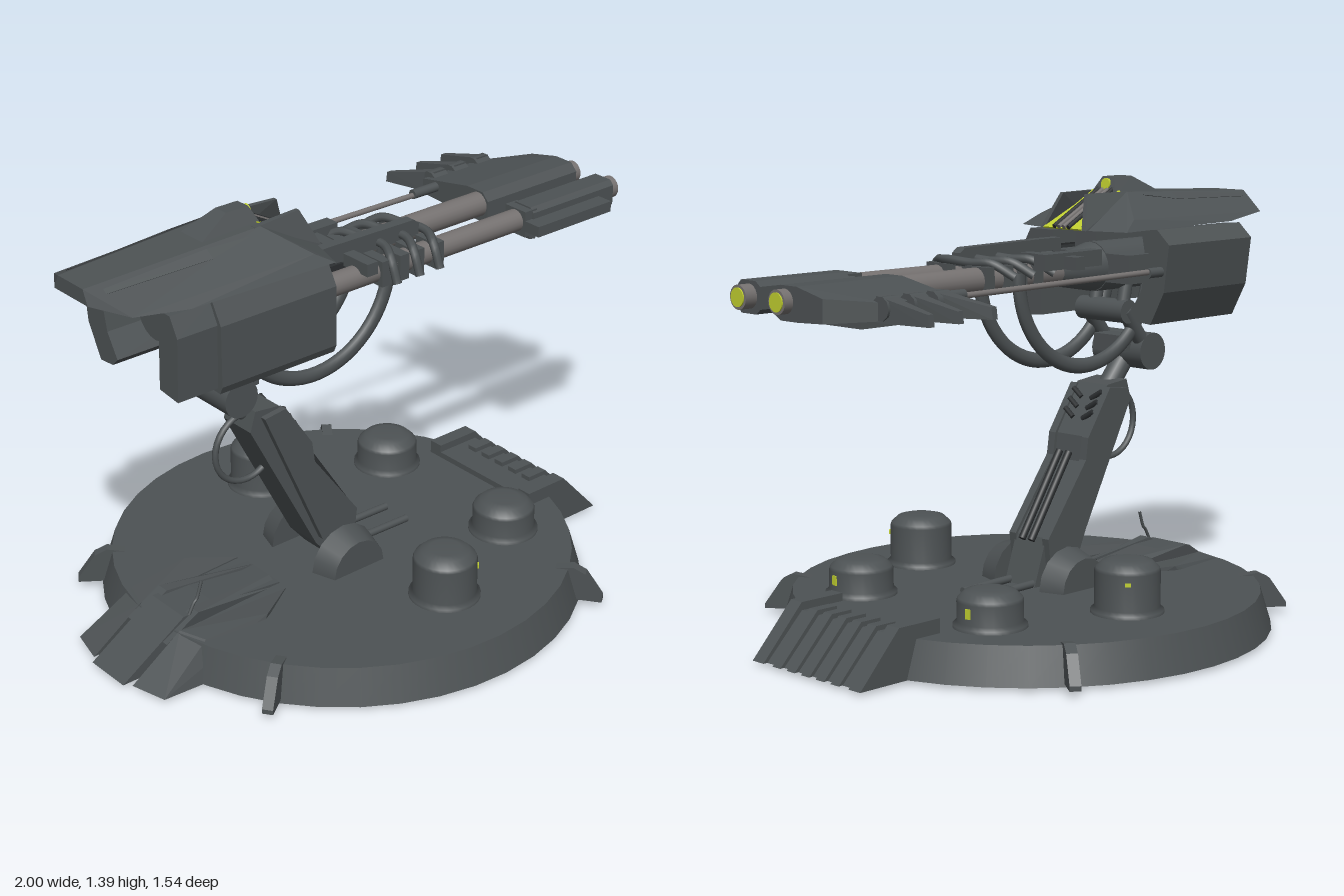
import * as THREE from 'three';
import { ConvexGeometry } from 'three/addons/geometries/ConvexGeometry.js';

const V = (x, y, z) => new THREE.Vector3(x, y, z);
const colour = (name, color) => Object.assign(new THREE.MeshStandardMaterial({ color }), { name });

export function createModel() {
  const model = new THREE.Group();
  model.name = 'turret';
  const armour = colour('armour grey', 0x4d5254);
  const steel = colour('barrel steel', 0x757170);
  const glow = colour('yellow glow', 0xc0cf30);
  const dark = colour('dark recess', 0x2c2f31);

  const add = (name, geo, mat = armour) => {
    const m = new THREE.Mesh(geo, mat);
    m.name = name;
    model.add(m);
    return m;
  };
  // box from minimum and maximum corners
  const box = (name, x0, x1, y0, y1, z0, z1, mat) =>
    add(name, new THREE.BoxGeometry(x1 - x0, y1 - y0, z1 - z0)
      .translate((x0 + x1) / 2, (y0 + y1) / 2, (z0 + z1) / 2), mat);
  const hull = (name, pts, mat) => add(name, new ConvexGeometry(pts.map(p => V(...p))), mat);
  const flat = pts => new THREE.Shape(pts.map(p => new THREE.Vector2(...p)));
  // profile of [x, y] points, extruded along z
  const slab = (name, pts, z0, z1, mat) => add(name,
    new THREE.ExtrudeGeometry(flat(pts), { depth: z1 - z0, bevelEnabled: false }).translate(0, 0, z0), mat);
  // profile of [z, y] points, extruded along x
  const shell = (name, pts, x0, x1, mat) => add(name,
    new THREE.ExtrudeGeometry(flat(pts.map(([z, y]) => [-z, y])), { depth: x1 - x0, bevelEnabled: false })
      .rotateY(Math.PI / 2).translate(x0, 0, 0), mat);
  // round bar between two points
  const rod = (name, a, b, r, mat, r2 = r, sides = 20) => {
    const p = V(...a), q = V(...b), d = q.clone().sub(p);
    const m = add(name, new THREE.CylinderGeometry(r2, r, d.length(), sides), mat);
    m.position.copy(p).add(q).multiplyScalar(0.5);
    m.quaternion.setFromUnitVectors(V(0, 1, 0), d.normalize());
    return m;
  };
  const tube = (name, pts, r, mat) => add(name,
    new THREE.TubeGeometry(new THREE.CatmullRomCurve3(pts.map(p => V(...p))), 32, r, 8), mat);

  // ---- base disc
  add('baseDisc', new THREE.CylinderGeometry(0.735, 0.77, 0.115, 40).translate(-0.03, 0.068, 0));

  // domed canisters with small lights
  for (const s of [-1, 1]) {
    for (const [x, z, r, top, a, ly, lh] of [[0, 0.455, 0.1, 0.29, 0.75, 0.23, 0.012], [0.41, 0.285, 0.1, 0.24, 0.1, 0.18, 0.03]]) {
      const prof = [[r + 0.012, 0.12], [r + 0.012, 0.135], [r, 0.145], [r, top - 0.035], [r - 0.004, top - 0.025], [r - 0.025, top - 0.006], [r - 0.05, top], [0, top]];
      add('canister', new THREE.LatheGeometry(prof.map(p => new THREE.Vector2(...p)), 28)).position.set(x, 0, s * z);
      const light = add('canisterLight', new THREE.BoxGeometry(0.008, lh, 0.018), glow);
      light.position.set(x + r * Math.cos(a), ly, s * (z + r * Math.sin(a)));
      light.rotation.y = -s * a;
    }
    // rim fins
    for (const deg of [54, 145]) {
      const fin = slab('rimFin', [[0.69, 0.125], [0.75, 0.135], [0.79, 0.115], [0.845, 0.035], [0.845, 0.02], [0.7, 0.02]], -0.017, 0.017);
      fin.position.x = -0.03;
      fin.rotation.y = -s * THREE.MathUtils.degToRad(deg);
    }
    // ramp cheeks
    const cheek = [[0.57, 0.01], [0.88, 0.01], [0.73, 0.17], [0.57, 0.17]];
    slab('frontRampCheek', cheek, s * 0.215 - 0.025, s * 0.215 + 0.025);
    // rear petals
    hull('rearPetal', [[-0.93, 0.01, s * 0.1], [-0.9, 0.01, s * 0.22], [-0.6, 0.01, s * 0.24], [-0.75, 0.13, s * 0.1], [-0.72, 0.13, s * 0.19], [-0.5, 0.14, s * 0.21], [-0.36, 0.13, s * 0.12], [-0.36, 0.05, s * 0.12]]);
    hull('rearRidge', [[-0.8, 0.1, s * 0.06], [-0.8, 0.1, s * 0.1], [-0.68, 0.165, s * 0.06], [-0.68, 0.165, s * 0.1], [-0.36, 0.14, s * 0.04], [-0.36, 0.12, s * 0.08], [-0.7, 0.1, s * 0.08]]);
    // foot bracket
    rod('footBracket', [-0.11, 0.125, s * 0.1], [-0.11, 0.125, s * 0.18], 0.125, armour, 0.1, 16);
    rod('floorPipe', [-0.05, 0.14, s * 0.05], [0.2, 0.135, s * 0.05], 0.012);
  }

  // ramps
  slab('frontRamp', [[0.57, 0.01], [0.865, 0.01], [0.73, 0.145], [0.57, 0.145]], -0.19, 0.19);
  for (const z of [-0.13, -0.065, 0, 0.065, 0.13])
    slab('rampRib', [[0.66, 0.02], [0.88, 0.01], [0.735, 0.16], [0.66, 0.16]], z - 0.018, z + 0.018);
  slab('rearRamp', [[-0.95, 0.01], [-0.35, 0.01], [-0.35, 0.13], [-0.6, 0.155], [-0.72, 0.155]], -0.08, 0.08);
  tube('antenna', [[-0.7, 0.155, 0.08], [-0.68, 0.19, 0.08], [-0.67, 0.2, 0.08], [-0.65, 0.255, 0.08]], 0.005);

  // ---- leaning arm
  slab('arm', [[-0.19, 0.2], [-0.13, 0.13], [0, 0.13], [-0.05, 0.28], [-0.22, 0.5], [-0.23, 0.58], [-0.33, 0.735], [-0.42, 0.745], [-0.44, 0.68]], -0.065, 0.065);
  for (const s of [-1, 1]) {
    slab('armSide', [[-0.18, 0.22], [-0.05, 0.2], [-0.04, 0.28], [-0.21, 0.51], [-0.22, 0.58], [-0.32, 0.73], [-0.4, 0.72]], s * 0.072 - 0.014, s * 0.072 + 0.014);
    rod('armRail', [-0.2, 0.53, s * 0.02], [-0.03, 0.27, s * 0.02], 0.012, dark);
    for (const y of [0.64, 0.67, 0.7])
      rod('armVent', [-0.262 - (y - 0.64) * 0.66, y - 0.01, s * 0.02], [-0.268 - (y - 0.64) * 0.66, y + 0.015, s * 0.06], 0.009, dark, 0.009, 6);
    // hinge side plates
    rod('linkPlate', [-0.5, 0.83, s * 0.08], [-0.39, 0.97, s * 0.08], 0.025);
    rod('linkUpper', [-0.39, 0.97, s * 0.06 - 0.01], [-0.42, 1.11, s * 0.06 - 0.01], 0.022);
  }
  rod('armNeck', [-0.5, 0.83, 0], [-0.38, 0.69, 0], 0.035);
  rod('elbowHinge', [-0.5, 0.83, -0.105], [-0.5, 0.83, 0.105], 0.06, armour, 0.06, 24);
  rod('upperHinge', [-0.39, 0.967, -0.1], [-0.39, 0.967, 0.1], 0.038);
  box('hingeBlock', -0.5, -0.4, 0.83, 0.885, -0.06, 0.06);
  add('armCable', new THREE.TorusGeometry(0.115, 0.01, 8, 32)).position.set(-0.41, 0.6, 0);

  // curved hoses under the barrels
  for (const z of [0.09, -0.08]) {
    const hose = add('hose', new THREE.TorusGeometry(0.293, 0.024, 10, 32, Math.PI * 1.02));
    hose.position.set(-0.21, 1.105, z);
    hose.rotation.z = Math.PI;
    hose.scale.z = 0.7;
  }

  // ---- gun body
  rod('gunCore', [-0.7, 1.115, -0.035], [-0.28, 1.115, -0.035], 0.08);
  rod('gunCollar', [-0.28, 1.115, -0.035], [-0.1, 1.11, -0.035], 0.078, armour, 0.042);
  box('gunBridge', -0.65, -0.28, 1.07, 1.16, -0.2, 0.16);
  box('headMount', -0.6, -0.3, 1.15, 1.25, -0.04, 0.05);
  for (const [z, r] of [[-0.04, 0.04], [0.13, 0.036]]) {
    rod('barrel', [-0.3, 1.11, z], [0.65, 1.11, z], r, steel);
    rod('muzzle', [0.9, 1.11, z], [0.995, 1.11, z], 0.036, steel);
    rod('muzzleGlow', [0.99, 1.11, z], [0.999, 1.11, z], 0.028, glow);
    rod('barrelSleeve', [-0.26, 1.11, z], [-0.2, 1.11, z], r + 0.012);
    for (const x of [0, 0.07, 0.13, 0.21]) box('barrelClamp', x - 0.018, x + 0.018, 1.07, 1.152, z - 0.045, z + 0.045);
  }
  slab('topRail', [[-0.23, 1.165], [-0.14, 1.165], [-0.12, 1.145], [0.21, 1.145], [0.21, 1.185], [0.19, 1.2], [-0.13, 1.205], [-0.23, 1.205]], 0.045, 0.08);
  box('sideRail', -0.22, 0.03, 1.13, 1.18, -0.14, -0.09);
  box('railTab', -0.09, -0.05, 1.13, 1.17, -0.19, 0.19);
  box('centreTray', -0.2, 0, 1.1, 1.14, 0, 0.08, dark);
  // bent pipes crossing between barrels
  for (const x of [0.02, 0.11, 0.19])
    tube('crossPipe', [[x, 1.08, 0.2], [x, 1.15, 0.17], [x + 0.03, 1.165, 0.1], [x + 0.02, 1.16, 0], [x, 1.16, -0.07], [x - 0.04, 1.12, -0.13]], 0.014);

  // muzzle housing on the near barrel
  shell('nearHousing', [[0.08, 1.075], [0.1, 1.06], [0.165, 1.06], [0.18, 1.075], [0.18, 1.14], [0.165, 1.155], [0.1, 1.155], [0.08, 1.14]], 0.6, 0.955);
  box('nearHousingCollar', 0.57, 0.62, 1.065, 1.15, 0.085, 0.175);
  box('nearFin', 0.57, 0.89, 1.085, 1.12, 0.17, 0.235);
  for (let i = 0; i < 5; i++) {
    const x = 0.6 + i * 0.045;
    slab('underTooth', [[x, 1.065], [x + 0.005, 1.045], [x + 0.03, 1.04], [x + 0.045, 1.065]], 0.1, 0.16);
  }

  // wide muzzle wing with claws on the far barrel
  const wing = [];
  for (const [x0, x1, z, lo, hi] of [[0.57, 0.965, 0.005, 1.07, 1.13], [0.57, 0.965, -0.02, 1.055, 1.155], [0.57, 0.965, -0.09, 1.055, 1.155], [0.57, 0.965, -0.2, 1.06, 1.13], [0.57, 0.82, -0.3, 1.065, 1.115]])
    for (const x of [x0, x1]) wing.push([x, lo, z], [x, hi, z]);
  hull('muzzleWing', wing);
  box('wingUnderPlate', 0.62, 0.86, 1.04, 1.06, -0.24, -0.06);
  for (const [x, tx] of [[0.62, 0.61 - 0.06], [0.71, 0.68], [0.81, 0.79]]) {
    rod('clawKnuckle', [x - 0.03, 1.1, -0.295], [x + 0.03, 1.1, -0.295], 0.035, armour, 0.035, 10);
    hull('claw', [[x - 0.02, 1.135, -0.28], [x + 0.03, 1.135, -0.28], [x - 0.02, 1.06, -0.28], [x + 0.03, 1.06, -0.28], [tx, 1.095, -0.455], [tx + 0.02, 1.095, -0.455], [tx, 1.06, -0.46], [tx + 0.02, 1.06, -0.46]]);
  }
  rod('sideRod', [-0.5, 1.11, -0.24], [0.6, 1.1, -0.24], 0.009, steel);
  for (const x of [-0.42, 0.47]) rod('rodSleeve', [x, 1.105, -0.24], [x + 0.1, 1.105, -0.24], 0.016);

  // ---- side armour shells
  shell('leftShell', [[0.14, 0.95], [0.215, 0.945], [0.227, 0.97], [0.227, 1.16], [0.19, 1.225], [0.09, 1.225], [0.09, 1.18], [0.12, 1.17], [0.14, 1.13]], -0.66, -0.24);
  shell('leftShellRear', [[0.12, 0.97], [0.205, 0.96], [0.212, 1.16], [0.18, 1.22], [0.09, 1.22], [0.09, 1.19], [0.125, 1.14]], -0.8, -0.66);
  shell('rightShell', [[-0.115, 0.965], [-0.16, 1.04], [-0.18, 1.13], [-0.16, 1.23], [-0.225, 1.235], [-0.275, 1.19], [-0.255, 1.04], [-0.2, 0.935], [-0.14, 0.94]], -0.78, -0.38);

  // ---- head fairing
  const head = [];
  for (const s of [-1, 1])
    head.push([-1, 1.32, s * 0.06], [-1, 1.275, s * 0.08], [-0.93, 1.26, s * 0.19], [-0.75, 1.24, s * 0.215], [-0.24, 1.235, s * 0.225], [-0.3, 1.27, s * 0.2], [-0.6, 1.325, s * 0.085], [-0.4, 1.345, s * 0.08], [-0.2, 1.235, s * 0.09]);
  hull('headFairing', head);
  const crest = [];
  for (const s of [-1, 1]) {
    crest.push([-0.62, 1.32, s * 0.06], [-0.48, 1.39, s * 0.025], [-0.4, 1.39, s * 0.025], [-0.375, 1.335, s * 0.055]);
    // visor frame
    hull('visorFrame', [[-0.42, 1.345, s * 0.06], [-0.42, 1.345, s * 0.08], [-0.24, 1.345, s * 0.045], [-0.24, 1.345, s * 0.058], [-0.19, 1.235, s * 0.08], [-0.19, 1.235, s * 0.098], [-0.42, 1.235, s * 0.08], [-0.42, 1.235, s * 0.1]]);
    hull('headStrake', [[-0.95, 1.315, s * 0.085], [-0.95, 1.305, s * 0.1], [-0.6, 1.335, s * 0.09], [-0.6, 1.315, s * 0.12], [-0.45, 1.335, s * 0.1], [-0.7, 1.28, s * 0.1]]);
  }
  hull('headCrest', crest);
  const lamp = rod('crestLamp', [-0.398, 1.364, 0], [-0.383, 1.366, 0], 0.02, glow);
  lamp.scale.z = 0.9;

  // sloping visor with slats
  hull('visor', [[-0.39, 1.348, -0.06], [-0.39, 1.348, 0.06], [-0.185, 1.24, -0.08], [-0.185, 1.24, 0.08], [-0.39, 1.34, -0.06], [-0.39, 1.34, 0.06], [-0.19, 1.235, -0.08], [-0.19, 1.235, 0.08]], glow);
  for (const z of [-0.03, -0.01, 0.01, 0.03])
    rod('visorSlat', [-0.39, 1.352, z], [-0.183, 1.243, z], 0.008, z * z > 0.0005 ? dark : steel, 0.008, 6);

  return model;
}
